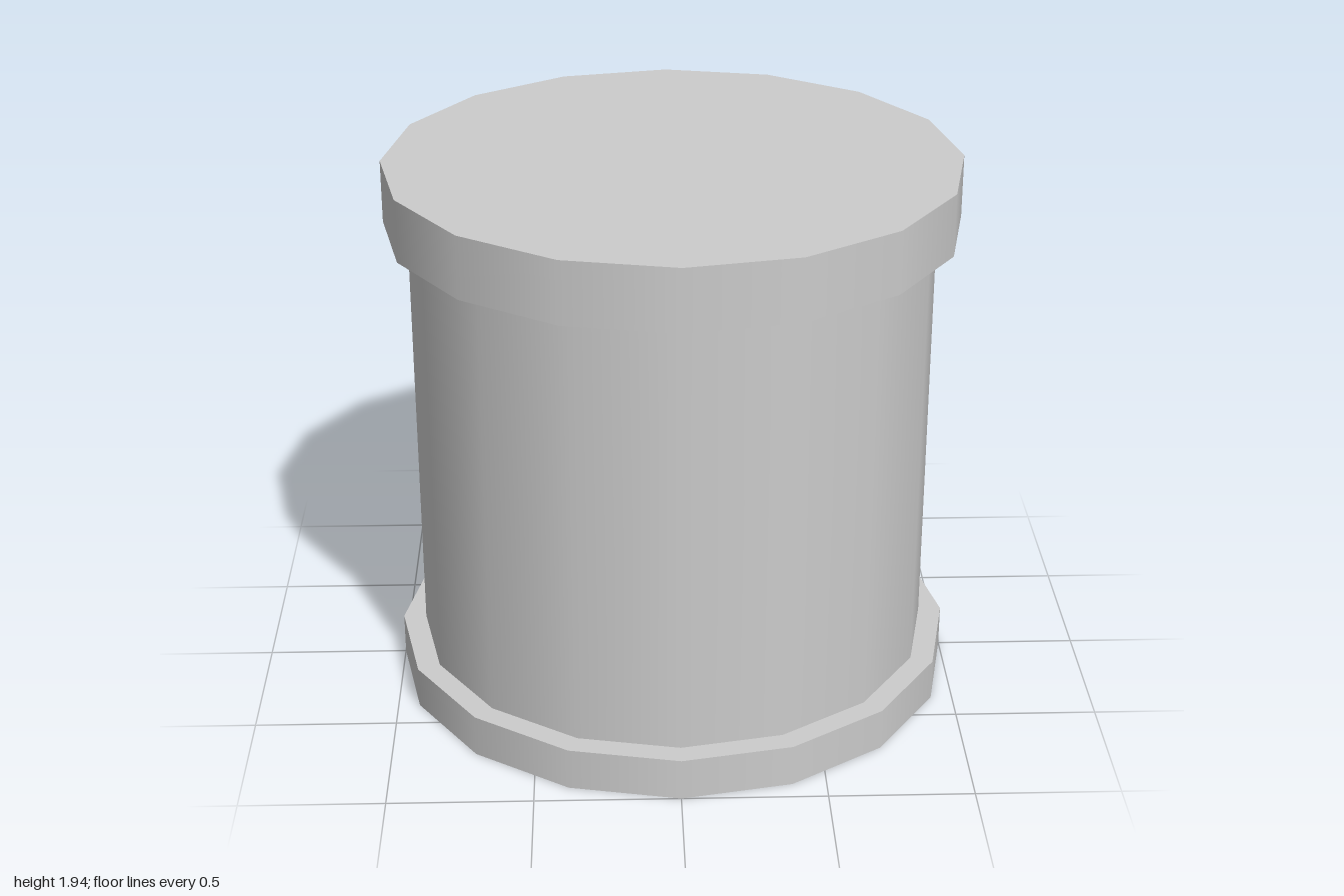
import * as THREE from 'three';

const SIDES = 16;

export function createModel() {
  const group = new THREE.Group();
  group.name = 'drum';
  const material = new THREE.MeshStandardMaterial({ color: 0xcccccc });

  // Upright 16-sided cylinder between two heights, smooth around its side
  function addCylinder(name, radius, bottom, top, openEnded = false) {
    const geometry = new THREE.CylinderGeometry(radius, radius, top - bottom, SIDES, 1, openEnded);
    const mesh = new THREE.Mesh(geometry, material);
    mesh.name = name;
    mesh.position.y = (bottom + top) / 2;
    group.add(mesh);
  }

  addCylinder('base', 1, 0, 0.15);
  // The body's ends are covered by the base and the lid
  addCylinder('body', 0.918, 0.15, 1.717, true);
  addCylinder('lid', 1, 1.717, 1.937);

  return group;
}
